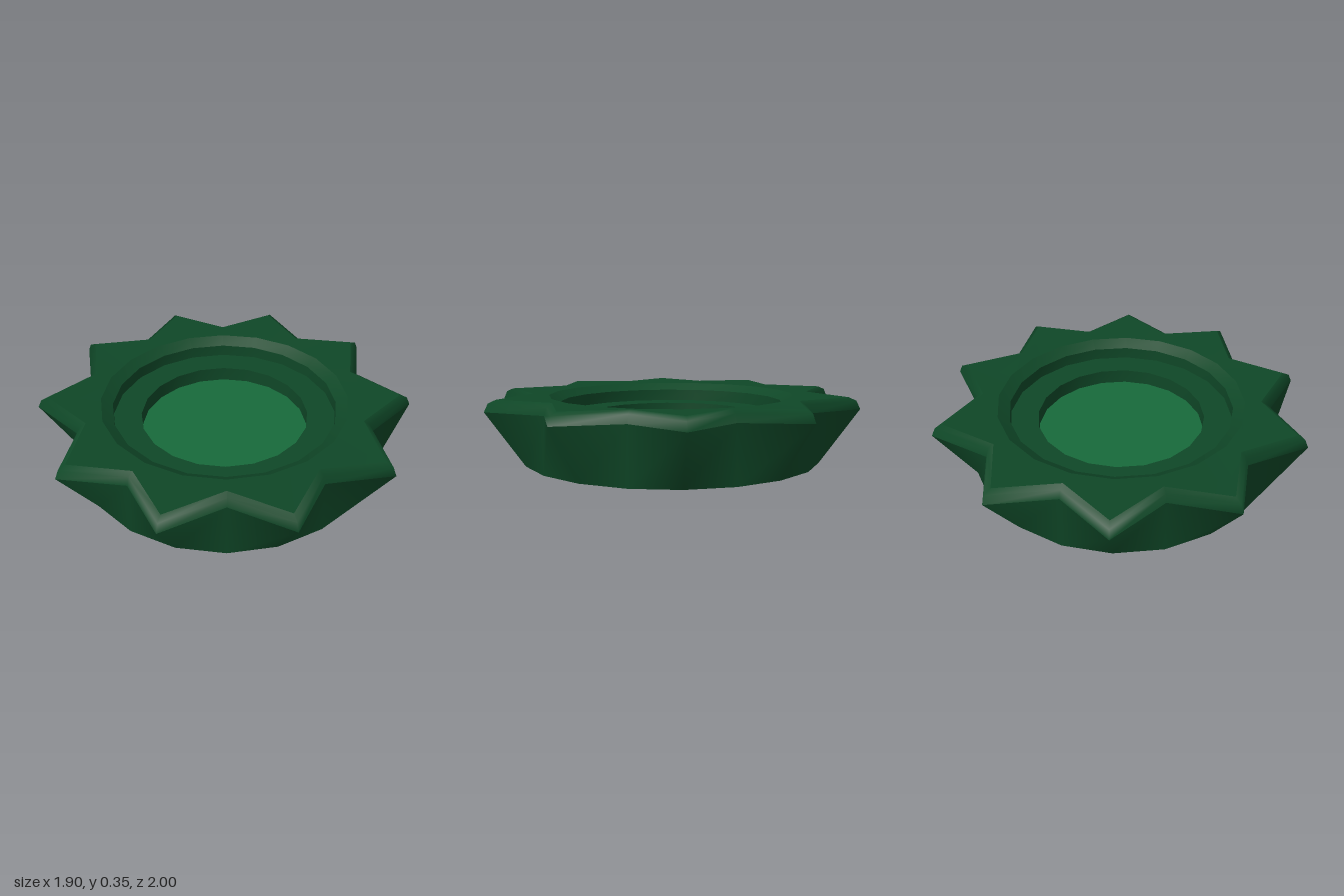
import * as THREE from 'three';

const SIDES = 20; // ten tips alternating with ten valleys

const bodyMaterial = new THREE.MeshStandardMaterial({ color: 0x0f4727 });
const floorMaterial = new THREE.MeshStandardMaterial({ color: 0x176a3b });

// Each ring is [valley radius, tip radius, height]; neighbouring rings are joined by a smooth band.
function band(name, rings) {
  const positions = [];
  const index = [];
  for (const [valley, tip, y] of rings) {
    for (let i = 0; i < SIDES; i++) {
      const a = (i / SIDES) * Math.PI * 2;
      const r = i % 2 ? tip : valley;
      positions.push(r * Math.cos(a), y, r * Math.sin(a));
    }
  }
  for (let k = 0; k < rings.length - 1; k++) {
    for (let i = 0; i < SIDES; i++) {
      const j = (i + 1) % SIDES;
      const a = k * SIDES + i, b = k * SIDES + j;
      const c = a + SIDES, d = b + SIDES;
      index.push(a, c, b, b, c, d);
    }
  }
  const geometry = new THREE.BufferGeometry();
  geometry.setAttribute('position', new THREE.Float32BufferAttribute(positions, 3));
  geometry.setIndex(index);
  geometry.computeVertexNormals();
  const mesh = new THREE.Mesh(geometry, bodyMaterial);
  mesh.name = name;
  return mesh;
}

function disc(name, radius, y, up, material) {
  const geometry = new THREE.CircleGeometry(radius, SIDES).rotateX(up ? -Math.PI / 2 : Math.PI / 2);
  const mesh = new THREE.Mesh(geometry, material);
  mesh.name = name;
  mesh.position.y = y;
  return mesh;
}

export function createModel() {
  const group = new THREE.Group();
  group.name = 'starDish';

  // Round foot flaring into a ten-pointed star
  group.add(disc('base', 0.8, 0, false, bodyMaterial));
  group.add(band('outerWall', [[0.8, 0.8, 0], [0.79, 1.0, 0.29]]));

  // Bevelled edge and flat star-shaped top
  group.add(band('bevel', [[0.79, 1.0, 0.29], [0.775, 0.98, 0.333], [0.745, 0.94, 0.35]]));
  group.add(band('starTop', [[0.745, 0.94, 0.35], [0.66, 0.66, 0.342]]));

  // Stepped round recess
  group.add(band('innerLip', [[0.66, 0.66, 0.342], [0.6, 0.6, 0.305]]));
  group.add(band('upperRecessWall', [[0.6, 0.6, 0.305], [0.6, 0.6, 0.24]]));
  group.add(band('ledge', [[0.6, 0.6, 0.24], [0.45, 0.45, 0.24]]));
  group.add(band('lowerRecessWall', [[0.45, 0.45, 0.24], [0.45, 0.45, 0.16]]));
  group.add(disc('recessFloor', 0.45, 0.16, true, floorMaterial));

  return group;
}
